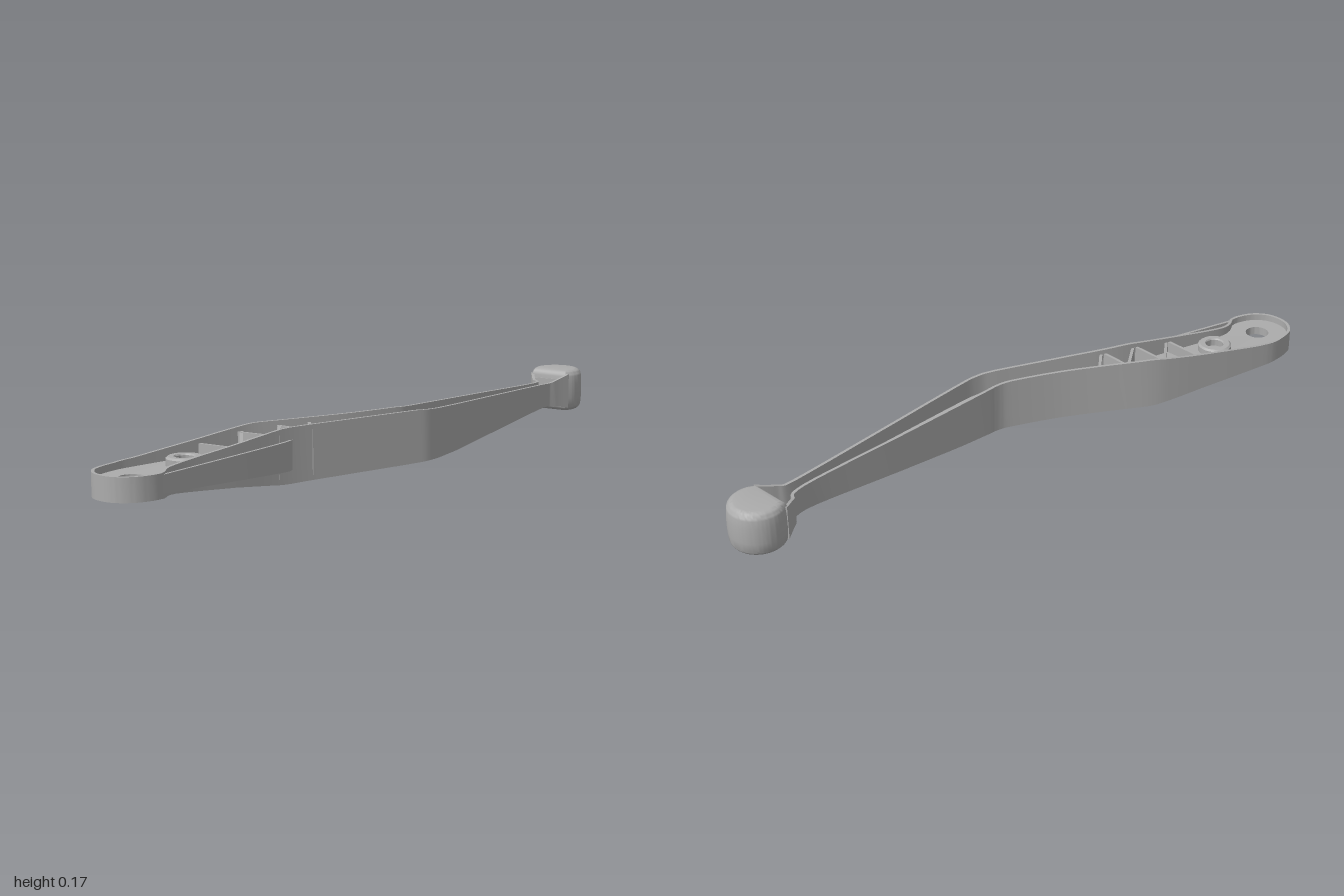
import * as THREE from 'three';
import { toCreasedNormals } from 'three/addons/utils/BufferGeometryUtils.js';

const metal = new THREE.MeshStandardMaterial({ color: 0xacacac });
metal.name = 'grey metal';

// piecewise linear profile along z
const profile = (pts) => (z) => {
  if (z <= pts[0][0]) return pts[0][1];
  for (let i = 1; i < pts.length; i++) {
    const [z0, y0] = pts[i - 1], [z1, y1] = pts[i];
    if (z <= z1) return y0 + ((y1 - y0) * (z - z0)) / (z1 - z0);
  }
  return pts[pts.length - 1][1];
};
const top = profile([[-0.88, 0.158], [-0.85, 0.148], [-0.8, 0.135], [-0.75, 0.137], [-0.2, 0.158],
  [0, 0.166], [0.43, 0.16], [0.6, 0.136], [0.8, 0.111], [0.88, 0.105]]);
const bottom = profile([[-0.88, 0.045], [-0.85, 0.052], [-0.8, 0.06], [-0.75, 0.06], [-0.2, 0.018],
  [0, 0.01], [0.43, 0], [0.6, 0.018], [0.8, 0.033], [0.88, 0.037]]);
const middle = profile([[-0.8, 0.0975], [0, 0.089], [0.43, 0.08], [0.8, 0.072], [1, 0.072]]);

// smooth plan curve through [x, z] points
const smooth = (pts, n) =>
  new THREE.SplineCurve(pts.map(([x, z]) => new THREE.Vector2(x, z))).getPoints(n);

// unit normal pointing to the inner side of a plan path
function inward(path, i) {
  const a = path[Math.max(i - 1, 0)], b = path[Math.min(i + 1, path.length - 1)];
  const t = b.clone().sub(a).normalize();
  return new THREE.Vector2(t.y, -t.x);
}

// upright wall along a plan path, between two height profiles
function wall(path, thick, lo, hi) {
  const pos = [], index = [];
  path.forEach((p, i) => {
    const q = p.clone().addScaledVector(inward(path, i), thick);
    const l = lo(p.y), h = hi(p.y);
    pos.push(p.x, l, p.y, p.x, h, p.y, q.x, h, q.y, q.x, l, q.y);
    if (i === 0) return;
    const a = (i - 1) * 4, b = i * 4;
    for (let k = 0; k < 4; k++) {
      const m = (k + 1) % 4;
      index.push(a + k, b + k, a + m, b + k, b + m, a + m);
    }
  });
  const e = (path.length - 1) * 4;
  index.push(0, 1, 2, 0, 2, 3, e, e + 2, e + 1, e, e + 3, e + 2);
  const g = new THREE.BufferGeometry();
  g.setAttribute('position', new THREE.Float32BufferAttribute(pos, 3));
  g.setIndex(index);
  return toCreasedNormals(g, 0.5);
}

export function createModel() {
  const group = new THREE.Group();
  const add = (name, geometry) => {
    const mesh = new THREE.Mesh(geometry, metal);
    mesh.name = name;
    group.add(mesh);
    return mesh;
  };

  // perimeter wall: along one side, round the front end and back along the other
  const outline = smooth([
    [-0.1, -0.86], [-0.06, -0.815], [-0.018, -0.757], [0.02, -0.42], [0.057, -0.1], [0.063, -0.05],
    [0.058, 0], [0.02, 0.14], [-0.03, 0.275], [-0.088, 0.42], [-0.11, 0.51], [-0.132, 0.65],
    [-0.154, 0.81], [-0.157, 0.88], [-0.137, 0.955], [-0.1, 0.991], [-0.057, 1], [-0.012, 0.99],
    [0.022, 0.96], [0.04, 0.92], [0.042, 0.87], [0.01, 0.8], [0.025, 0.6], [0.045, 0.41],
    [0.09, 0.22], [0.14, 0.02], [0.155, -0.06], [0.142, -0.16], [0.085, -0.46], [0.03, -0.757],
    [0.03, -0.82], [0.041, -0.88],
  ], 186);
  add('perimeterWall', wall(outline, 0.009, bottom, top));

  // web between the walls, pierced by the mounting hole
  const inner = outline
    .map((p, i) => p.clone().addScaledVector(inward(outline, i), 0.004))
    .filter((p) => p.y > -0.77);
  const webShape = new THREE.Shape(inner.map((p) => new THREE.Vector2(p.x, -p.y)));
  webShape.holes.push(new THREE.Path().absarc(-0.05, -0.9, 0.036, 0, Math.PI * 2, true));
  const web = new THREE.ExtrudeGeometry(webShape, { depth: 0.026, bevelEnabled: false, curveSegments: 20 });
  web.rotateX(-Math.PI / 2);
  const wp = web.attributes.position;
  for (let i = 0; i < wp.count; i++) wp.setY(i, wp.getY(i) - 0.013 + middle(wp.getZ(i)));
  add('web', toCreasedNormals(web, 0.5));

  // zigzag stiffening ribs above and below the web
  const zigzag = [[-0.027, 0.272], [0.055, 0.345], [-0.06, 0.356], [0.033, 0.455],
    [-0.095, 0.472], [0.02, 0.58], [-0.118, 0.598]];
  for (let i = 1; i < zigzag.length; i++) {
    const path = [zigzag[i - 1], zigzag[i]].map(([x, z]) => new THREE.Vector2(x, z));
    add('rib' + i, wall(path, 0.009, (z) => bottom(z) + 0.014, (z) => top(z) - 0.014));
  }

  // ring boss
  const ring = [[0.03, -0.038], [0.046, -0.038], [0.052, -0.033], [0.052, 0.033],
    [0.046, 0.038], [0.03, 0.038], [0.027, 0.034], [0.027, -0.034], [0.03, -0.038]];
  const boss = add('ringBoss', toCreasedNormals(
    new THREE.LatheGeometry(ring.map(([x, y]) => new THREE.Vector2(x, y)), 28), 0.5));
  boss.position.set(-0.056, 0.074, 0.71);

  // slim outer strip bridging the hollow beside the front end
  add('sideStrip', wall(smooth([[0.042, 0.875], [0.052, 0.65], [0.057, 0.45], [0.046, 0.405]], 24), 0.008,
    profile([[0.43, 0.04], [0.87, 0.05]]), profile([[0.43, 0.125], [0.87, 0.1]])));

  // rounded end knob with a slanted flat face
  const bevel = 0.02, r = 0.083 - bevel;
  const knobShape = new THREE.Shape();
  knobShape.absarc(0, 0, r, -0.42, Math.PI + 0.75, false);
  knobShape.closePath();
  const knob = new THREE.ExtrudeGeometry(knobShape, {
    depth: 0.135 - 2 * bevel, bevelThickness: bevel, bevelSize: bevel, bevelSegments: 5, curveSegments: 32, steps: 4,
  });
  knob.rotateX(-Math.PI / 2);
  // slight barrel bulge
  const kp = knob.attributes.position;
  for (let i = 0; i < kp.count; i++) {
    const d = (kp.getY(i) - 0.0475) / 0.0675, s = 1 - 0.06 * d * d;
    kp.setX(i, kp.getX(i) * s);
    kp.setZ(i, kp.getZ(i) * s);
  }
  add('endKnob', toCreasedNormals(knob, 0.6)).position.set(-0.037, 0.033 + bevel, -0.917);

  // ledge joining the flared neck to the knob
  const ledge = [[-0.085, -0.85], [0.034, -0.873]].map(([x, z]) => new THREE.Vector2(x, z));
  add('neckLedge', wall(ledge, 0.02, () => 0.06, () => 0.138));

  return group;
}
